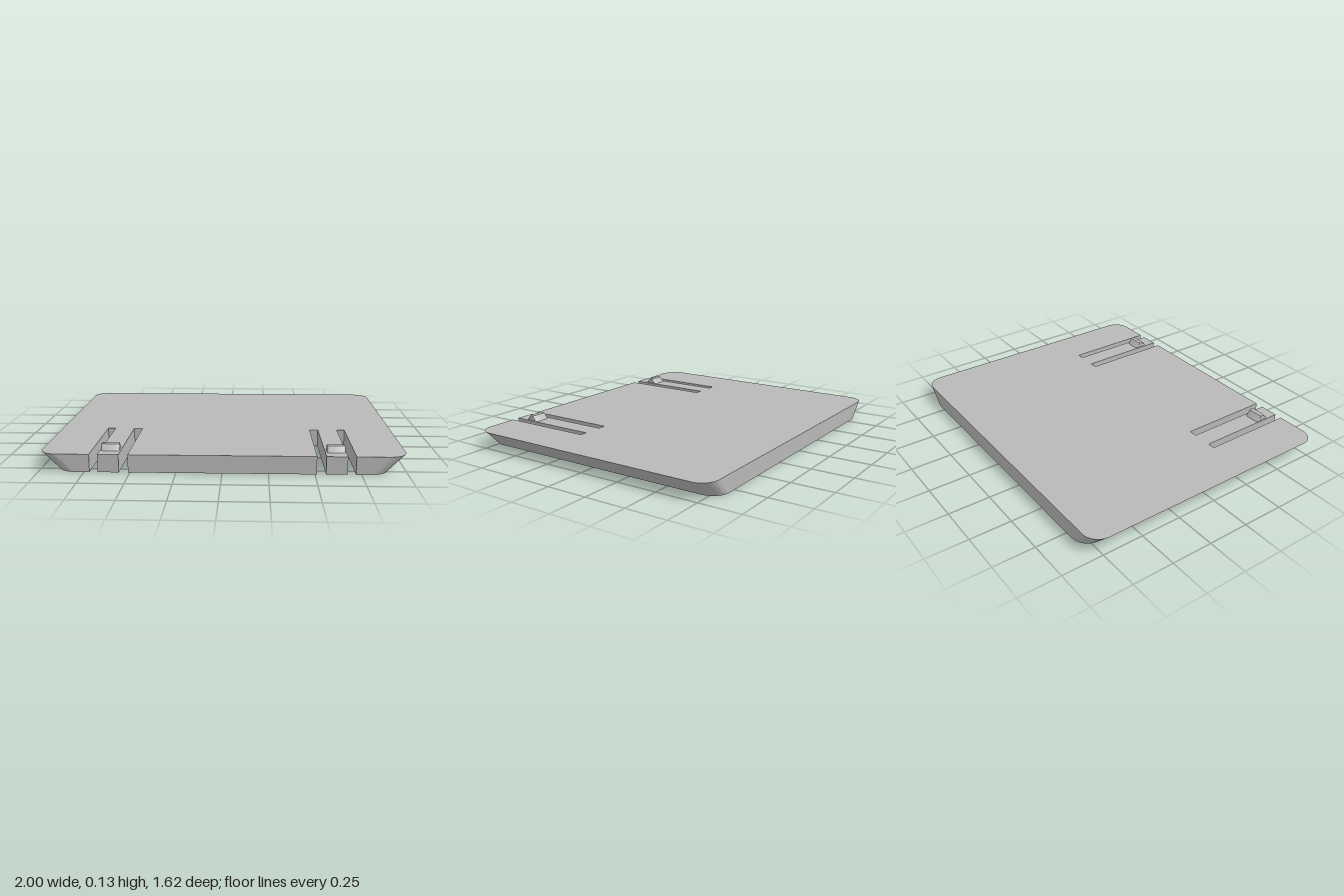
import * as THREE from 'three';
import { toCreasedNormals } from 'three/addons/utils/BufferGeometryUtils.js';

const HALF_X = 1, HALF_Z = 0.81, HEIGHT = 0.1, CORNER = 0.1;
const GROOVE_DEPTH = 0.035;
const SLOT_END = 0.245;                        // z where the slots stop
const SLOTS = [[0.51, 0.56], [0.675, 0.72]];   // x ranges, mirrored

// Plan outline (shape y = -z): rounded rectangle with four slots open to the front
function plateOutline() {
  const s = new THREE.Shape();
  const x = HALF_X - CORNER, y = HALF_Z - CORNER;
  s.absarc(x, y, CORNER, 0, Math.PI / 2);
  s.absarc(-x, y, CORNER, Math.PI / 2, Math.PI);
  s.absarc(-x, -y, CORNER, Math.PI, Math.PI * 1.5);
  const left = SLOTS.map(([a, b]) => [-b, -a]).reverse();
  for (const [a, b] of [...left, ...SLOTS]) {
    s.lineTo(a, -HALF_Z);
    s.lineTo(a, -SLOT_END);
    s.lineTo(b, -SLOT_END);
    s.lineTo(b, -HALF_Z);
  }
  s.absarc(x, -y, CORNER, Math.PI * 1.5, Math.PI * 2);
  return s;
}

// Long hole with round ends
function grooveHole(z, halfLength, r) {
  const p = new THREE.Path();
  p.absarc(halfLength - r, -z, r, -Math.PI / 2, Math.PI / 2);
  p.absarc(-halfLength + r, -z, r, Math.PI / 2, Math.PI * 1.5);
  p.closePath();
  return p;
}

// Upright extrusion whose vertices are then moved by a rule
function extrudeUp(shape, y0, y1, rule) {
  const geo = new THREE.ExtrudeGeometry(shape, { depth: y1 - y0, bevelEnabled: false, curveSegments: 10 });
  geo.rotateX(-Math.PI / 2).translate(0, y0, 0);
  const pos = geo.attributes.position, v = new THREE.Vector3();
  for (let i = 0; i < pos.count; i++) {
    rule(v.fromBufferAttribute(pos, i));
    pos.setXYZ(i, v.x, v.y, v.z);
  }
  geo.computeVertexNormals();
  return toCreasedNormals(geo, 0.6);
}

// Left and right sides lean inward at 45 degrees toward the bottom
const leanSides = (v) => {
  if (Math.abs(v.x) > HALF_X - CORNER - 0.001) v.x -= Math.sign(v.x) * (HEIGHT - v.y);
};

export function createModel() {
  const group = new THREE.Group();
  const grey = new THREE.MeshStandardMaterial({ color: 0xb8b8b8 });
  grey.name = 'grey plastic';
  const add = (name, geo) => {
    const mesh = new THREE.Mesh(geo, grey);
    mesh.name = name;
    group.add(mesh);
    return mesh;
  };

  // Cover plate: solid upper layer, and a lower layer cut by the grip grooves
  add('upperPlate', extrudeUp(plateOutline(), GROOVE_DEPTH, HEIGHT, leanSides));
  const lower = plateOutline();
  for (const z of [-0.67, -0.55, -0.43]) lower.holes.push(grooveHole(z, 0.71, 0.025));
  add('lowerPlate', extrudeUp(lower, 0, GROOVE_DEPTH, leanSides));

  // Catch on each spring finger: rounded block with sloping front and back
  const hx = 0.05, hz = 0.045, r = 0.018;
  const block = new THREE.Shape();
  block.absarc(hx - r, hz - r, r, 0, Math.PI / 2);
  block.absarc(-hx + r, hz - r, r, Math.PI / 2, Math.PI);
  block.absarc(-hx + r, -hz + r, r, Math.PI, Math.PI * 1.5);
  block.absarc(hx - r, -hz + r, r, Math.PI * 1.5, Math.PI * 2);
  const catchGeo = extrudeUp(block, 0, 0.032, (v) => {
    if (v.y > 0.01) v.z *= 0.33;
  });
  for (const side of [-1, 1]) {
    add(side > 0 ? 'leftCatch' : 'rightCatch', catchGeo).position.set(side * 0.62, HEIGHT, 0.695);
  }
  return group;
}
